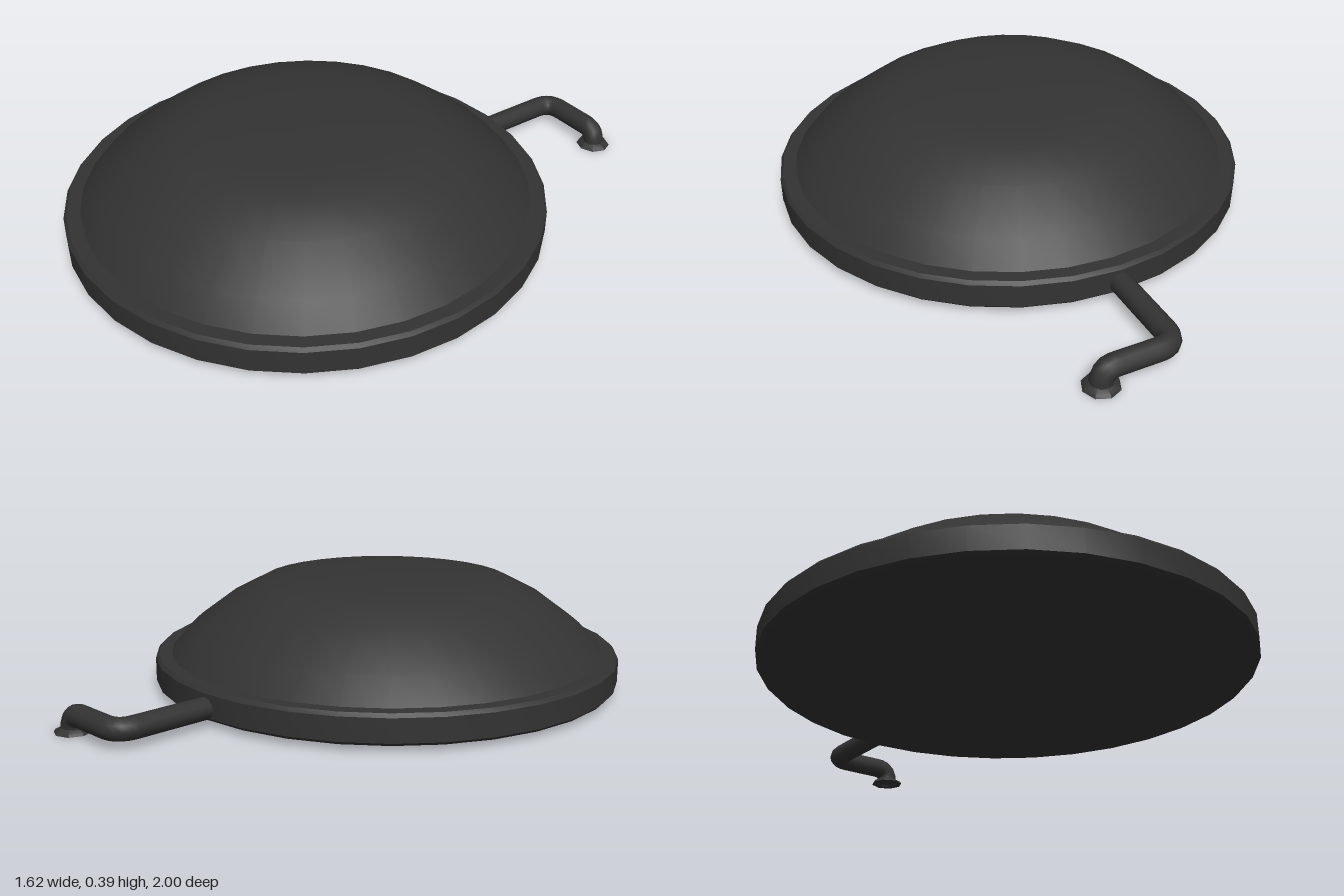
import * as THREE from 'three';
import { toCreasedNormals } from 'three/addons/utils/BufferGeometryUtils.js';

const material = new THREE.MeshStandardMaterial({ color: 0x333333, side: THREE.DoubleSide });
const v = (x, y, z) => new THREE.Vector3(x, y, z);

// Turned part from [radius, y] pairs, listed from the bottom up
function turned(name, profile, sides, x, z, crease) {
  const points = profile.map(([r, y]) => new THREE.Vector2(r, y));
  const geometry = toCreasedNormals(new THREE.LatheGeometry(points, sides), crease);
  const mesh = new THREE.Mesh(geometry, material);
  mesh.name = name;
  mesh.position.set(x, 0, z);
  return mesh;
}

export function createModel() {
  const model = new THREE.Group();
  model.name = 'domedDisc';
  const discZ = 0.185;

  // Flat base with a slightly bevelled rim
  model.add(turned('baseRim', [
    [0, 0.02], [0.8, 0.02], [0.81, 0.03], [0.81, 0.108], [0.8, 0.12], [0.75, 0.12],
  ], 32, 0, discZ, 0.6));

  // Shallow dome with a flattened crown
  model.add(turned('dome', [
    [0.755, 0.12], [0.685, 0.2], [0.55, 0.3], [0.433, 0.36],
    [0.325, 0.378], [0.16, 0.387], [0, 0.39],
  ], 32, 0, discZ, 0.8));

  // Pipe runs backwards, turns left, then turns down
  const y = 0.06, backZ = -0.943, endX = 0.247;
  const path = new THREE.CurvePath();
  path.add(new THREE.LineCurve3(v(0, y, -0.58), v(0, y, -0.88)));
  path.add(new THREE.QuadraticBezierCurve3(v(0, y, -0.88), v(0, y, backZ), v(0.063, y, backZ)));
  path.add(new THREE.LineCurve3(v(0.063, y, backZ), v(0.2, y, backZ)));
  path.add(new THREE.QuadraticBezierCurve3(v(0.2, y, backZ), v(endX, y, backZ), v(endX, 0.012, backZ)));
  const pipe = new THREE.Mesh(new THREE.TubeGeometry(path, 36, 0.037, 12, false), material);
  pipe.name = 'pipe';
  model.add(pipe);

  // Flared pipe mouth with a shallow recess underneath
  model.add(turned('pipeMouth', [
    [0, 0.008], [0.035, 0.008], [0.04, 0], [0.06, 0], [0.055, 0.008], [0.036, 0.018],
  ], 8, endX, backZ, 0.6));

  return model;
}
